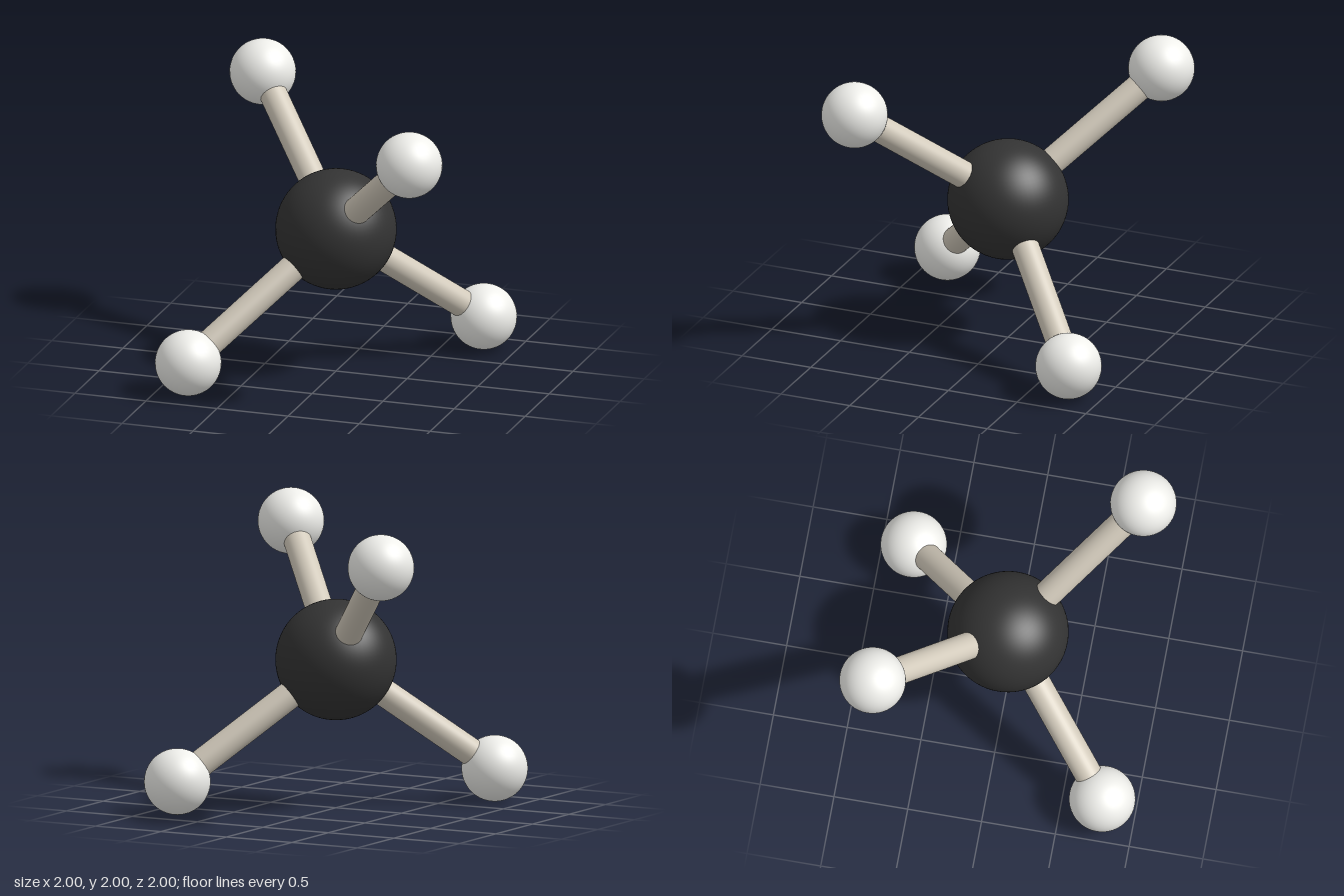
import * as THREE from 'three';

export function createModel() {
  const model = new THREE.Group();
  const dark = new THREE.MeshStandardMaterial({ color: 0x333333 });
  const pale = new THREE.MeshStandardMaterial({ color: 0xeeeeea });
  const beige = new THREE.MeshStandardMaterial({ color: 0xd2cabb });

  const center = new THREE.Vector3(0, 1, 0);
  const reach = 0.778; // offset of each outer ball along every axis
  const up = new THREE.Vector3(0, 1, 0);

  function add(name, geometry, material, position) {
    const mesh = new THREE.Mesh(geometry, material);
    mesh.name = name;
    mesh.position.copy(position);
    model.add(mesh);
    return mesh;
  }

  // Large central ball
  add('centralBall', new THREE.SphereGeometry(0.405, 64, 40), dark, center);

  // Four outer balls at alternate cube corners, each joined by a round rod
  const ballGeometry = new THREE.SphereGeometry(0.222, 48, 32);
  const rodGeometry = new THREE.CylinderGeometry(0.093, 0.093, reach * Math.sqrt(3), 40);
  const corners = {
    upperFrontLeft: [1, 1, 1],
    upperBackRight: [-1, 1, -1],
    lowerFrontRight: [-1, -1, 1],
    lowerBackLeft: [1, -1, -1],
  };
  for (const [name, corner] of Object.entries(corners)) {
    const offset = new THREE.Vector3(...corner).multiplyScalar(reach);
    add(`${name}Ball`, ballGeometry, pale, center.clone().add(offset));
    const rod = add(`${name}Rod`, rodGeometry, beige, center.clone().addScaledVector(offset, 0.5));
    rod.quaternion.setFromUnitVectors(up, offset.clone().normalize());
  }
  return model;
}
